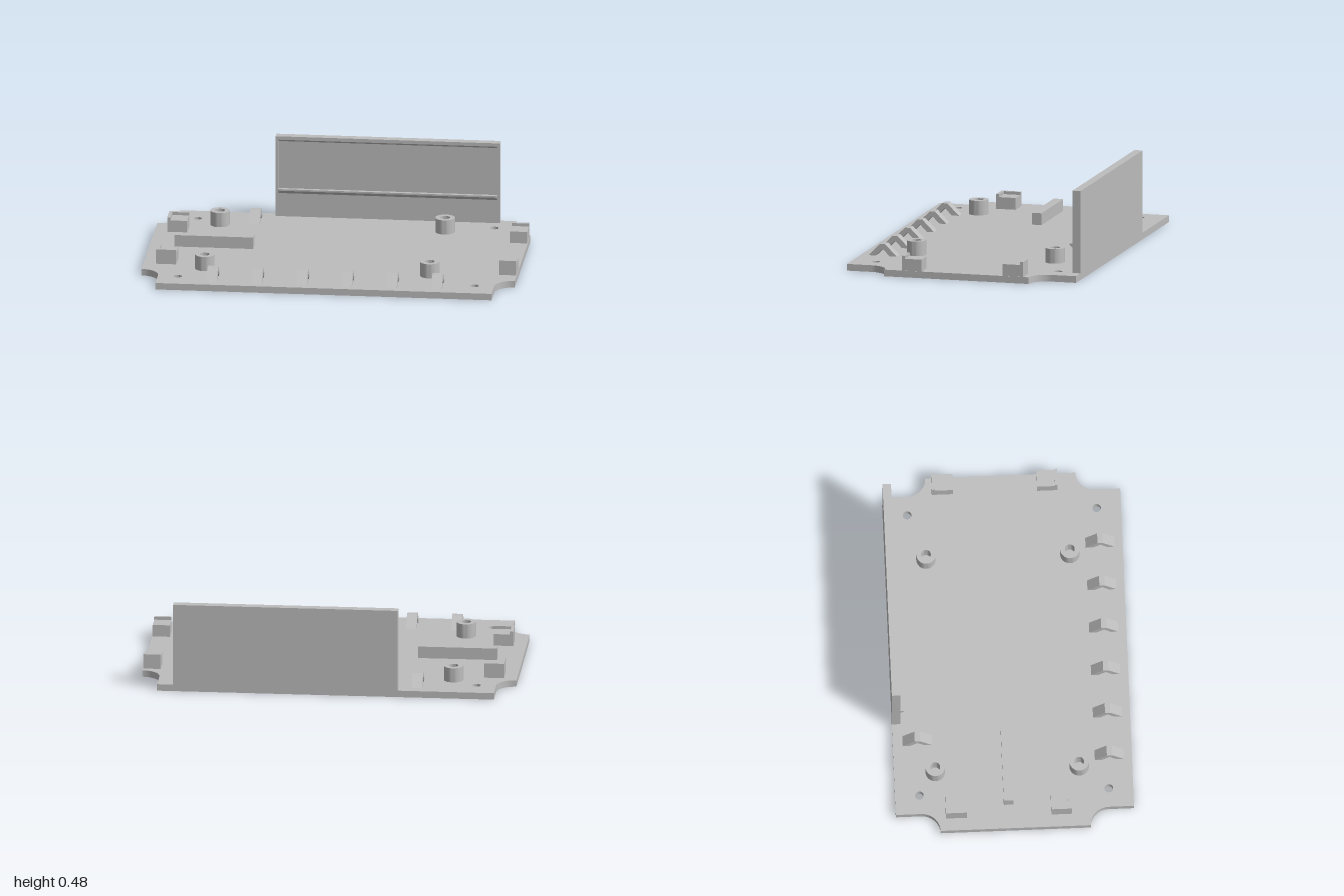
import * as THREE from 'three';
import { toCreasedNormals } from 'three/addons/utils/BufferGeometryUtils.js';

export function createModel() {
  const model = new THREE.Group();
  model.name = 'enclosureBase';
  const grey = new THREE.MeshStandardMaterial({ color: 0xbdbdbd });
  grey.name = 'grey plastic';
  const floor = 0.036; // top of the base plate

  const add = (geometry, name, parent = model) => {
    const mesh = new THREE.Mesh(geometry, grey);
    mesh.name = name;
    parent.add(mesh);
    return mesh;
  };

  // Box given by its limits on each axis
  const box = (name, x0, x1, y0, y1, z0, z1, parent) => {
    const g = new THREE.BoxGeometry(x1 - x0, y1 - y0, z1 - z0);
    g.translate((x0 + x1) / 2, (y0 + y1) / 2, (z0 + z1) / 2);
    return add(g, name, parent);
  };

  // Plan outline (x, z) raised from y0 to y1
  const slab = (shape, y0, y1) => {
    const g = new THREE.ExtrudeGeometry(shape, { depth: y1 - y0, bevelEnabled: false, curveSegments: 20 });
    g.rotateX(Math.PI / 2).translate(0, y1, 0);
    return toCreasedNormals(g, 0.6);
  };

  // Side profile of [z, y] points swept along x
  const prism = (points, x0, x1) => {
    const shape = new THREE.Shape(points.map(([z, y]) => new THREE.Vector2(z, y)));
    const g = new THREE.ExtrudeGeometry(shape, { depth: x1 - x0, bevelEnabled: false });
    return g.rotateY(-Math.PI / 2).translate(x1, 0, 0);
  };

  const hole = (shape, x, z, r) => {
    const path = new THREE.Path();
    path.absarc(x, z, r, 0, Math.PI * 2, true);
    shape.holes.push(path);
  };

  // Base plate with scooped corners and four screw holes
  const P = Math.PI;
  const plate = new THREE.Shape();
  plate.moveTo(-0.9, -0.635);
  plate.lineTo(0.9, -0.635);
  plate.lineTo(0.9, -0.5);
  plate.absarc(1, -0.5, 0.1, P, P / 2, true);
  plate.lineTo(1, 0.4);
  plate.absarc(1, 0.5, 0.1, -P / 2, -P, true);
  plate.lineTo(0.9, 0.635);
  plate.lineTo(-0.9, 0.635);
  plate.lineTo(-0.9, 0.5);
  plate.absarc(-1, 0.5, 0.1, 0, -P / 2, true);
  plate.lineTo(-1, -0.4);
  plate.absarc(-1, -0.5, 0.1, P / 2, 0, true);
  for (const x of [-0.795, 0.795]) for (const z of [-0.505, 0.505]) hole(plate, x, z, 0.023);
  add(slab(plate, 0, floor), 'basePlate');

  // Hollow screw standoffs
  const ring = new THREE.Shape();
  ring.absarc(0, 0, 0.052, 0, P * 2, false);
  hole(ring, 0, 0, 0.026);
  const ringGeometry = slab(ring, floor, 0.115);
  for (const x of [-0.665, 0.54]) {
    for (const z of [-0.415, 0.352]) add(ringGeometry, 'standoff').position.set(x, 0, z);
  }

  // Board supports: a block with an end lip, the left-hand pair with a side lip too
  const support = (x0, x1, zIn, zOut, sideLip) => {
    const g = new THREE.Group();
    g.name = 'boardSupport';
    const s = Math.sign(zOut);
    const zEnd = zOut + s * 0.017;
    const span = (a, b) => [Math.min(a, b), Math.max(a, b)];
    box('supportBlock', x0, x1, floor, 0.1, ...span(zIn, zOut), g);
    box('endLip', x0, x1, floor, 0.116, ...span(zOut, zEnd), g);
    if (sideLip) box('sideLip', x0 - 0.017, x0, floor, 0.116, ...span(zIn, zEnd), g);
    model.add(g);
  };
  for (const [zIn, zOut] of [[0.193, 0.285], [-0.256, -0.352]]) {
    support(0.905, 0.997, zIn, zOut, false);
    support(-0.914, -0.824, zIn, zOut, true);
  }

  // Long low rib
  box('rib', -0.866, -0.444, floor, 0.1, -0.058, -0.006);

  // Arched cable loops
  const loop = prism([
    [0.078, floor], [0.014, 0.1], [-0.014, 0.1], [-0.078, floor],
    [-0.038, floor], [0, 0.075], [0.038, floor],
  ], -0.028, 0.028);
  for (let i = 0; i < 6; i++) add(loop, 'cableLoop').position.set(-0.604 + i * 0.2408, 0, 0.515);
  add(loop, 'cableLoop').position.set(-0.483, 0, -0.504);

  // Rear wall with a shallow framed recess
  const wall = new THREE.Group();
  wall.name = 'rearWall';
  model.add(wall);
  const rect = (S, x0, x1, y0, y1) => new S([[x0, y0], [x1, y0], [x1, y1], [x0, y1]]
    .map(([x, y]) => new THREE.Vector2(x, y)));
  box('wallPanel', -0.386, 0.815, floor, 0.482, -0.635, -0.6, wall);
  const frame = rect(THREE.Shape, -0.386, 0.815, floor, 0.482);
  frame.holes.push(rect(THREE.Path, -0.37, 0.8, 0.19, 0.463));
  const frameGeometry = new THREE.ExtrudeGeometry(frame, { depth: 0.01, bevelEnabled: false });
  add(frameGeometry.translate(0, 0, -0.6), 'wallFrame', wall);

  // Sloped top edge of the recess and the ledge below it
  add(prism([[-0.59, 0.463], [-0.6, 0.463], [-0.6, 0.453]], -0.37, 0.8), 'recessTopEdge', wall);
  add(prism([[-0.59, 0.193], [-0.59, 0.165], [-0.57, 0.184], [-0.57, 0.193]], -0.37, 0.8), 'ledge', wall);

  return model;
}
